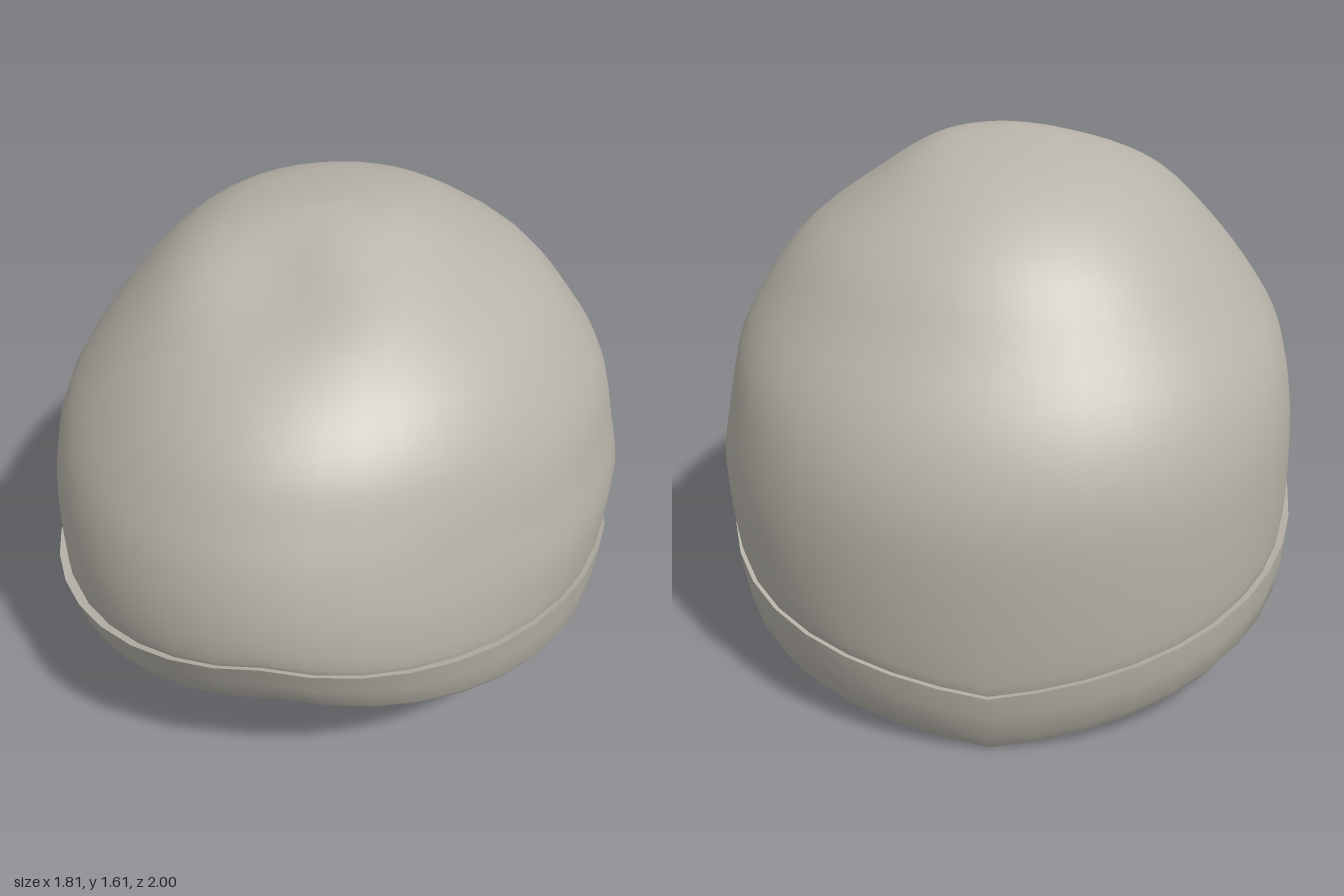
import * as THREE from 'three';
import { toCreasedNormals } from 'three/addons/utils/BufferGeometryUtils.js';

const SEGMENTS = 40;

// Soft dents and swells pushed into the cloth: centre, radius, depth along the outward direction
const FOLDS = [
  { at: [-0.14, 1.48, 0.36], radius: 0.19, push: -0.045 },
  { at: [-0.2, 1.12, 0.8], radius: 0.3, push: 0.015 },
  { at: [0.5, 0.78, 0.7], radius: 0.25, push: -0.02 },
  { at: [0.02, 1.5, 0.22], radius: 0.12, push: 0.015 },
];

// One point of a ring; the height runs evenly round from front to back,
// and the back corners are a little fuller than an ellipse.
// ring = [yFront, yBack, right, left, zFront, zBack, zMiddle, frontSkew]
function ringPoint([yF, yB, xR, xL, zF, zB, zM, skew], angle) {
  const s = Math.sin(angle), c = Math.cos(angle);
  const turn = Math.acos(Math.max(-1, Math.min(1, c))) / Math.PI;
  const full = c < 0 ? 1 + (s > 0 ? 0.03 : 0.015) * (2 * s * c) ** 2 : 1;
  return new THREE.Vector3(
    full * s * (s > 0 ? xL : xR) + skew * Math.max(c, 0),
    yF + (yB - yF) * turn,
    zM + full * c * (c > 0 ? zF - zM : zM - zB),
  );
}

// Skin a list of rings, ordered so that the outside faces outward
function loft(rings, shape = (p) => p) {
  const positions = [], index = [];
  rings.forEach((ring) => {
    for (let j = 0; j < SEGMENTS; j++) {
      positions.push(...shape(ringPoint(ring, (j / SEGMENTS) * Math.PI * 2)).toArray());
    }
  });
  for (let i = 0; i < rings.length - 1; i++) {
    for (let j = 0; j < SEGMENTS; j++) {
      const k = (j + 1) % SEGMENTS;
      const a = i * SEGMENTS + j, b = i * SEGMENTS + k;
      const c = a + SEGMENTS, d = b + SEGMENTS;
      index.push(a, b, c, b, d, c);
    }
  }
  const geometry = new THREE.BufferGeometry();
  geometry.setAttribute('position', new THREE.Float32BufferAttribute(positions, 3));
  geometry.setIndex(index);
  geometry.computeVertexNormals();
  return geometry;
}

// Smooth in-between rings
function refine(rings, steps) {
  const out = [];
  const at = (i) => rings[Math.max(0, Math.min(rings.length - 1, i))];
  for (let i = 0; i < rings.length - 1; i++) {
    for (let n = 0; n < steps; n++) {
      const t = n / steps;
      out.push(rings[i].map((p1, k) => {
        const p0 = at(i - 1)[k], p2 = at(i + 1)[k], p3 = at(i + 2)[k];
        const v0 = (p2 - p0) / 2, v1 = (p3 - p1) / 2;
        return (2 * p1 - 2 * p2 + v0 + v1) * t ** 3 + (3 * p2 - 3 * p1 - 2 * v0 - v1) * t ** 2 + v0 * t + p1;
      }));
    }
  }
  out.push(rings[rings.length - 1]);
  return out;
}

function foldCloth(p) {
  const out = new THREE.Vector3(p.x, p.y - 0.6, p.z).normalize();
  const original = p.clone();
  FOLDS.forEach(({ at, radius, push }) => {
    const d = original.distanceTo(new THREE.Vector3(...at)) / radius;
    p.addScaledVector(out, push * Math.exp(-d * d));
  });
  return p;
}

export function createModel() {
  const wool = new THREE.MeshStandardMaterial({ color: 0xb8b4aa, side: THREE.DoubleSide });
  wool.name = 'wool';
  const hat = new THREE.Group();
  hat.name = 'knitHat';

  const add = (name, geometry) => {
    const mesh = new THREE.Mesh(geometry, wool);
    mesh.name = name;
    hat.add(mesh);
  };

  // Crown: tilted at the brim, level and rounded at the top
  const crownRings = [
    [0.61, 0.19, 0.865, 0.86, 0.96, -0.95, -0.06, -0.07],
    [0.67, 0.25, 0.882, 0.88, 0.99, -0.972, -0.07, -0.08],
    [0.80, 0.54, 0.885, 0.9, 0.99, -0.996, -0.08, -0.09],
    [0.95, 0.77, 0.872, 0.868, 0.955, -0.99, -0.08, -0.09],
    [1.07, 0.98, 0.825, 0.83, 0.9, -0.92, -0.07, -0.08],
    [1.20, 1.17, 0.725, 0.74, 0.83, -0.8, -0.05, -0.06],
    [1.33, 1.34, 0.605, 0.615, 0.705, -0.685, -0.04, -0.04],
    [1.46, 1.47, 0.475, 0.43, 0.51, -0.53, -0.02, -0.02],
    [1.545, 1.55, 0.33, 0.3, 0.28, -0.36, 0, 0],
    [1.595, 1.597, 0.15, 0.18, 0.13, -0.14, 0.02, 0],
    [1.613, 1.613, 0.001, 0.001, 0.021, 0.019, 0.02, 0],
  ];
  add('crown', loft(refine(crownRings, 3), foldCloth));

  // Turned-up band: inside wall, lower lip, outside wall, then tucked against the crown
  const bandRings = [
    [0.62, 0.21, 0.85, 0.85, 0.95, -0.935, -0.05, -0.07],
    [0.54, 0.12, 0.845, 0.845, 0.92, -0.925, -0.05, -0.06],
    [0.46, 0.035, 0.82, 0.82, 0.865, -0.89, -0.05, -0.04],
    [0.44, 0.005, 0.85, 0.845, 0.89, -0.91, -0.05, -0.04],
    [0.475, 0.05, 0.882, 0.865, 0.925, -0.94, -0.05, -0.05],
    [0.56, 0.14, 0.898, 0.878, 0.96, -0.97, -0.05, -0.07],
    [0.655, 0.22, 0.903, 0.89, 1.0, -0.985, -0.05, -0.085],
    [0.645, 0.212, 0.865, 0.86, 0.965, -0.95, -0.05, -0.08],
  ];
  add('band', toCreasedNormals(loft(bandRings), 0.6));

  return hat;
}
